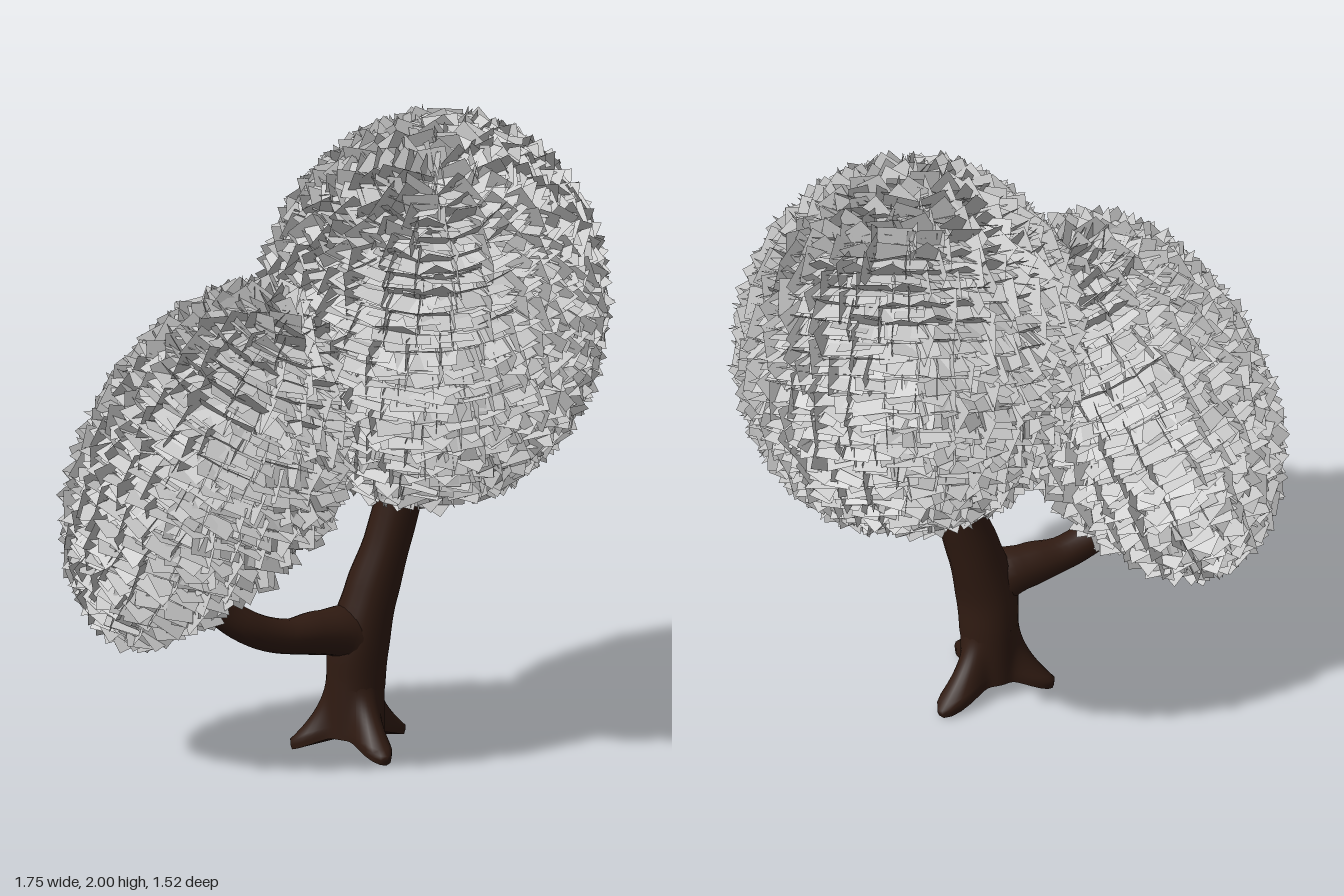
import * as THREE from 'three';
import { mergeGeometries } from 'three/addons/utils/BufferGeometryUtils.js';

const V = (x, y, z) => new THREE.Vector3(x, y, z);
const bark = new THREE.MeshStandardMaterial({ color: 0x301b12 });
const leaf = new THREE.MeshStandardMaterial({ color: 0xcccccc, side: THREE.DoubleSide });

function seeded(seed) {
  return () => (seed = (seed * 16807) % 2147483647) / 2147483647;
}

// Tapered round limb: each point is [x, y, z, radius]; the tip is rounded off
function limb(name, points, segments = 32) {
  const curve = new THREE.CatmullRomCurve3(points.map(p => V(p[0], p[1], p[2])));
  const sides = 18;
  const geo = new THREE.TubeGeometry(curve, segments, 1, sides);
  const pos = geo.attributes.position;
  const v = V(0, 0, 0);
  for (let i = 0; i <= segments; i++) {
    const u = i / segments;
    const t = curve.getUtoTmapping(u) * (points.length - 1);
    const k = Math.min(Math.floor(t), points.length - 2);
    const f = t - k;
    const s = f * f * (3 - 2 * f);
    const tip = Math.sqrt(Math.max(0, 1 - Math.max(0, (u - 0.92) / 0.08) ** 2));
    const r = THREE.MathUtils.lerp(points[k][3], points[k + 1][3], s) * tip;
    const c = curve.getPointAt(u);
    for (let j = 0; j <= sides; j++) {
      const n = i * (sides + 1) + j;
      v.fromBufferAttribute(pos, n).sub(c).multiplyScalar(r).add(c);
      pos.setXYZ(n, v.x, v.y, v.z);
    }
  }
  const mesh = new THREE.Mesh(geo, bark);
  mesh.name = name;
  return mesh;
}

// Trunk foot that spreads smoothly into blunt toes
function rootFlare(cx, cz, toes) {
  const height = 0.24;
  const geo = new THREE.CylinderGeometry(1, 1, height, 72, 16);
  const pos = geo.attributes.position;
  for (let i = 0; i < pos.count; i++) {
    const x = pos.getX(i), z = pos.getZ(i);
    const t = 0.5 - pos.getY(i) / height;
    const angle = Math.atan2(z, x);
    let lobe = 0, reach = 0;
    for (const [tx, tz] of toes) {
      const diff = angle - Math.atan2(tz - cz, tx - cx);
      const w = Math.exp(-((Math.atan2(Math.sin(diff), Math.cos(diff)) / 0.35) ** 2));
      lobe += w;
      reach += w * (Math.hypot(tx - cx, tz - cz) - 0.09);
    }
    const spread = Math.min(1, t / 0.88) ** 1.9 - 0.06 * Math.max(0, (t - 0.88) / 0.12) ** 2;
    const r = 0.091 + reach * spread;
    const lift = 0.05 * t * (1 - Math.min(1, lobe * Math.hypot(x, z)));
    pos.setXYZ(i, cx + x * r, 0.01 + height * (1 - t) + lift, cz + z * r);
  }
  geo.computeVertexNormals();
  const mesh = new THREE.Mesh(geo, bark);
  mesh.name = 'rootFlare';
  return mesh;
}

// Hollow crown, open below: rows of leaf cards over an ellipsoid, each slanted card crossed by an upright one
function crown(name, { center, radii, rotation, baseNormal, baseDepth, seed }) {
  const rnd = seeded(seed);
  const jitter = a => (rnd() - 0.5) * 2 * a;
  const turn = new THREE.Quaternion().setFromEuler(new THREE.Euler(...rotation));
  const [a, b, c] = radii;
  const down = baseNormal.clone().normalize();
  const mean = (a + b + c) / 3;
  const step = 0.056;
  const rows = Math.round(Math.PI * mean / step);
  const cards = [];
  const basis = new THREE.Matrix4();
  for (let i = 0; i < rows; i++) {
    const lat = Math.PI * (i + 0.5) / rows;
    const count = Math.max(4, Math.round(2 * Math.PI * mean * Math.sin(lat) / step));
    for (let j = 0; j < count; j++) {
      const lon = 2 * Math.PI * (j + jitter(0.2)) / count;
      const d = V(Math.sin(lat) * Math.cos(lon), Math.cos(lat), Math.sin(lat) * Math.sin(lon));
      const p = V(d.x * a, d.y * b, d.z * c).applyQuaternion(turn);
      if (p.dot(down) > baseDepth) continue;
      const normal = V(d.x / a, d.y / b, d.z / c).normalize().applyQuaternion(turn);
      const side = V(Math.sin(lon), 0, -Math.cos(lon)).applyQuaternion(turn);
      side.addScaledVector(normal, -side.dot(normal)).normalize();
      const up = normal.clone().cross(side);
      basis.makeBasis(side, up, normal).setPosition(p.add(center));
      const slanted = new THREE.PlaneGeometry(0.105 + jitter(0.015), 0.125 + jitter(0.02));
      slanted.rotateZ(jitter(0.25)).rotateX(-0.7 + jitter(0.4)).rotateY(jitter(0.4));
      const upright = new THREE.PlaneGeometry(0.11 + jitter(0.015), 0.12 + jitter(0.015));
      upright.rotateZ(jitter(0.85)).rotateX(Math.PI / 2 + jitter(0.3));
      if ((i + j) % 2) upright.rotateZ(Math.PI / 2);
      cards.push(slanted.applyMatrix4(basis), upright.applyMatrix4(basis));
    }
  }
  const mesh = new THREE.Mesh(mergeGeometries(cards), leaf);
  mesh.name = name;
  return mesh;
}

export function createModel() {
  const tree = new THREE.Group();
  tree.name = 'tree';

  // Foot and trunk leaning up into the large crown
  tree.add(rootFlare(0.065, 0.09, [[-0.14, 0.08], [0.16, 0.3], [0.215, -0.11]]));
  tree.add(limb('trunk', [
    [0.065, 0.15, 0.09, 0.085], [0.067, 0.24, 0.09, 0.094], [0.075, 0.36, 0.095, 0.098],
    [0.115, 0.52, 0.085, 0.085], [0.165, 0.68, 0.075, 0.074], [0.205, 0.84, 0.07, 0.073], [0.235, 1.05, 0.06, 0.075],
  ], 48));

  // Fork inside the large crown
  tree.add(limb('upperForkRight', [[0.21, 0.9, 0.07, 0.07], [0.19, 1.05, 0.1, 0.06], [0.12, 1.24, 0.16, 0.035]]));
  tree.add(limb('upperForkLeft', [[0.21, 0.9, 0.07, 0.07], [0.29, 1.05, 0.01, 0.06], [0.4, 1.22, -0.1, 0.035]]));

  // Side branch forking into the small crown
  tree.add(limb('sideBranch', [
    [0.1, 0.3, 0.095, 0.06], [0.045, 0.39, 0.115, 0.088], [-0.05, 0.407, 0.165, 0.07],
    [-0.16, 0.412, 0.23, 0.055], [-0.27, 0.455, 0.29, 0.054], [-0.37, 0.535, 0.32, 0.052], [-0.46, 0.72, 0.37, 0.035],
  ]));
  tree.add(limb('sideBranchFork', [
    [-0.33, 0.51, 0.31, 0.048], [-0.38, 0.6, 0.26, 0.044], [-0.4, 0.76, 0.17, 0.03],
  ]));

  tree.add(crown('largeCrown', {
    center: V(0.31, 1.38, -0.085), radii: [0.485, 0.535, 0.615], rotation: [0.42, -0.16, 0],
    baseNormal: V(0.1, -1, -0.15), baseDepth: 0.46, seed: 11,
  }));
  tree.add(crown('smallCrown', {
    center: V(-0.385, 0.97, 0.275), radii: [0.355, 0.58, 0.395], rotation: [0.12, 0, -0.45],
    baseNormal: V(0.57, -0.82, 0), baseDepth: 0.315, seed: 29,
  }));
  return tree;
}
